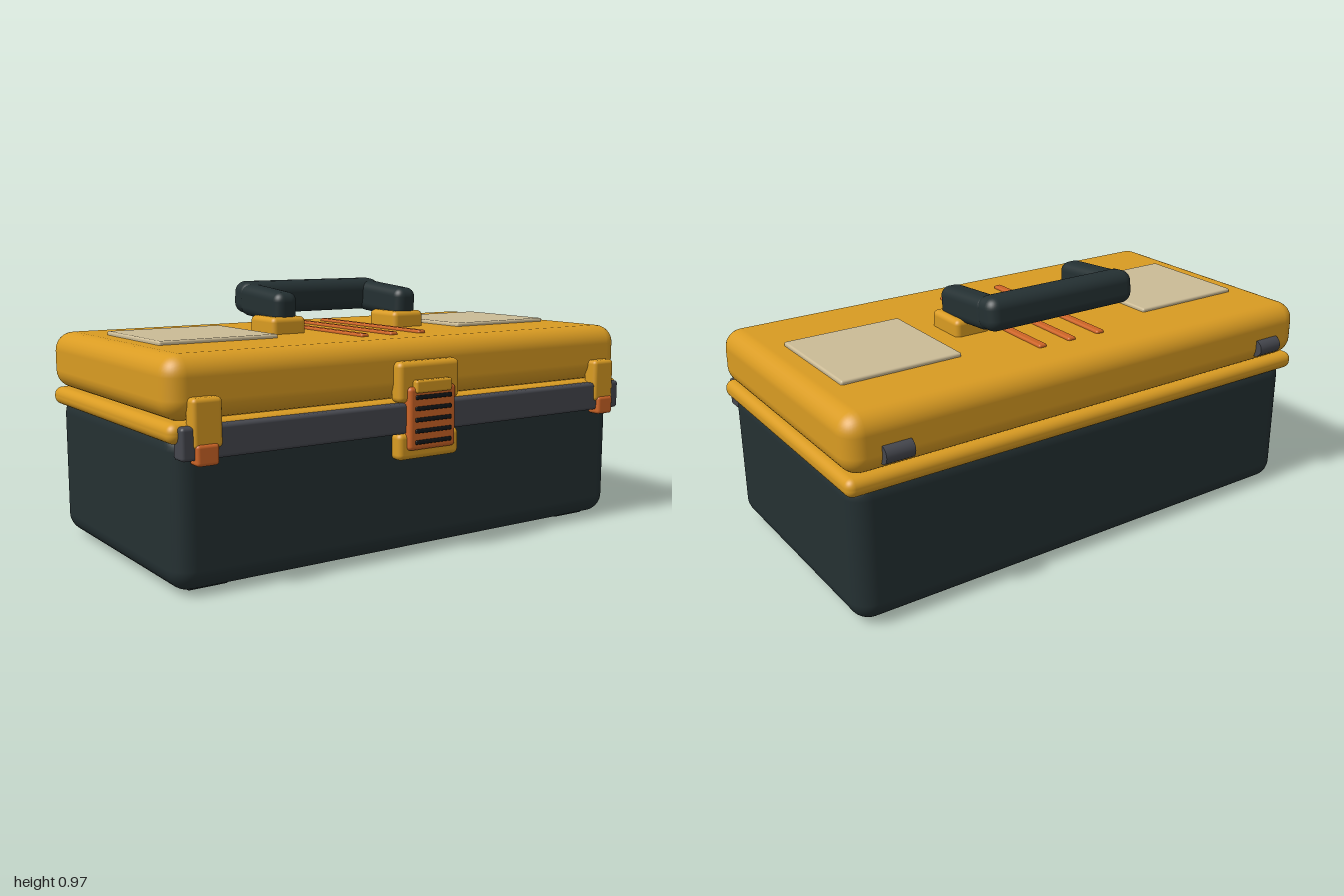
import * as THREE from 'three';
import { RoundedBoxGeometry } from 'three/addons/geometries/RoundedBoxGeometry.js';

const paint = (name, color) => {
  const m = new THREE.MeshStandardMaterial({ color });
  m.name = name;
  return m;
};

export function createModel() {
  const model = new THREE.Group();
  model.name = 'toolbox';
  const yellow = paint('yellow plastic', 0xd99b22);
  const dark = paint('dark green-grey plastic', 0x243032);
  const grey = paint('grey trim', 0x45474e);
  const orange = paint('orange accent', 0xcd6426);
  const cream = paint('cream panel', 0xcbbb96);
  const black = paint('black slot', 0x14181a);

  // Rounded block given by its limits on each axis
  const block = (name, mat, [x0, x1], [y0, y1], [z0, z1], r, parent = model) => {
    const mesh = new THREE.Mesh(new RoundedBoxGeometry(x1 - x0, y1 - y0, z1 - z0, 4, r), mat);
    mesh.position.set((x0 + x1) / 2, (y0 + y1) / 2, (z0 + z1) / 2);
    mesh.name = name;
    parent.add(mesh);
    return mesh;
  };
  const span = (c, w) => [c - w / 2, c + w / 2];

  // Shell: lower box, rim, lid and the front trim band
  block('body', dark, [-0.98, 0.98], [0.01, 0.55], [-0.51, 0.495], 0.075);
  block('rim', yellow, [-1, 1], [0.505, 0.572], [-0.528, 0.51], 0.03);
  block('lid', yellow, [-1, 1], [0.57, 0.783], [-0.535, 0.503], 0.07);
  block('frontBand', grey, [-0.97, 0.97], [0.455, 0.563], [0.47, 0.535], 0.012);

  // Lid top: cream panels and orange ribs
  for (const s of [-1, 1]) block('lidPanel', cream, span(s * 0.646, 0.463), [0.765, 0.797], [-0.27, 0.185], 0.008);
  for (const x of [-0.13, 0, 0.13]) block('lidRib', orange, span(x, 0.034), [0.765, 0.794], [-0.36, 0.322], 0.008);

  // Mirrored side latches, rear hinges and front feet
  for (const s of [-1, 1]) {
    block('sideLatch', yellow, span(s * 0.88, 0.105), [0.49, 0.652], [0.48, 0.542], 0.015);
    block('sideLatchTab', orange, span(s * 0.885, 0.08), [0.437, 0.507], [0.49, 0.55], 0.012);
    const hinge = new THREE.Mesh(new THREE.CylinderGeometry(0.033, 0.033, 0.105, 20), grey);
    hinge.rotation.z = Math.PI / 2;
    hinge.position.set(s * 0.825, 0.638, -0.53);
    hinge.name = 'hinge';
    model.add(hinge);
    block('foot', dark, span(s * 0.83, 0.15), [0, 0.03], [0.29, 0.42], 0.008);
  }

  // Centre latch with slotted grip
  const latch = new THREE.Group();
  latch.name = 'centreLatch';
  model.add(latch);
  block('latchUpperPlate', yellow, [-0.138, 0.134], [0.565, 0.71], [0.48, 0.54], 0.02, latch);
  block('latchLowerPlate', yellow, [-0.138, 0.134], [0.36, 0.457], [0.48, 0.54], 0.02, latch);
  block('latchLever', orange, [-0.105, 0.105], [0.395, 0.622], [0.5, 0.555], 0.015, latch);
  block('latchTopTab', yellow, [-0.08, 0.08], [0.6, 0.645], [0.53, 0.563], 0.008, latch);
  for (let i = 0; i < 5; i++)
    block('latchSlot', black, [-0.08, 0.08], span(0.425 + i * 0.04, 0.015), [0.553, 0.5625], 0.004, latch);

  // Carrying handle: mounts, tilted arms and cross grip
  const handle = new THREE.Group();
  handle.name = 'handle';
  model.add(handle);
  for (const s of [-1, 1]) {
    block('handleMount', yellow, span(-0.02 + s * 0.278, 0.145), [0.765, 0.845], [-0.103, 0.073], 0.02, handle);
    block('handleArm', dark, span(-0.02 + s * 0.278, 0.096), [0.825, 0.945], [-0.235, 0.063], 0.035, handle).rotation.x = 0.08;
  }
  block('handleGrip', dark, [-0.345, 0.307], [0.84, 0.965], [-0.293, -0.18], 0.042, handle).rotation.x = 0.08;

  return model;
}
